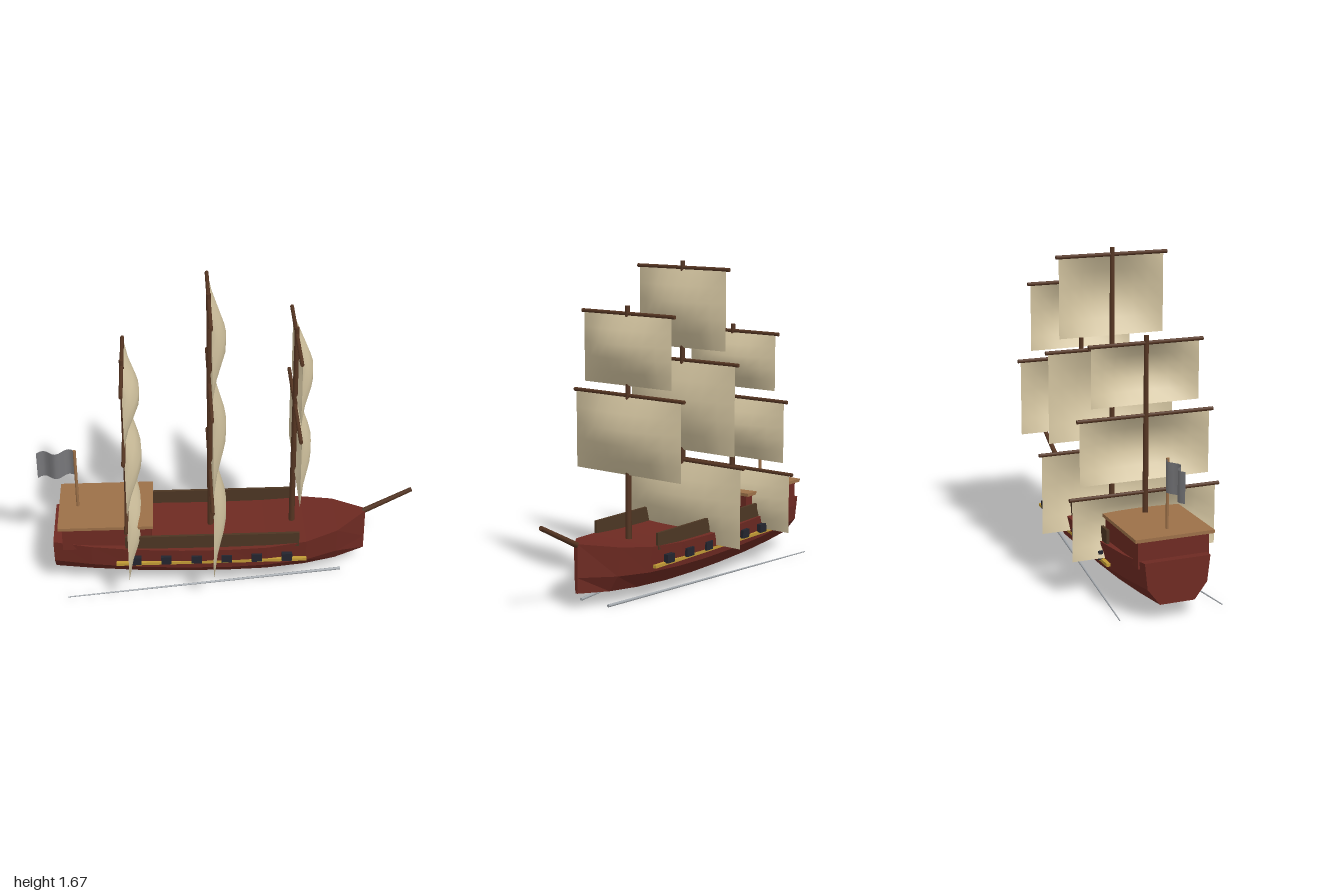
import * as THREE from 'three';

const material = (name, color, extra = {}) =>
  Object.assign(new THREE.MeshStandardMaterial({ color, ...extra }), { name });

export function createModel() {
  const ship = new THREE.Group();
  ship.name = 'sailingShip';

  const hullRed = material('hull red', 0x6e2a22, { flatShading: true });
  const deckTan = material('deck tan', 0x9c7048);
  const mastBrown = material('mast brown', 0x553522);
  const railBrown = material('rail brown', 0x4c3623);
  const gold = material('gold trim', 0xc09a35);
  const portDark = material('gun port', 0x23252e);
  const canvas = material('sail canvas', 0xd3c4a0, { side: THREE.DoubleSide });
  const flagGrey = material('flag grey', 0x77777a, { side: THREE.DoubleSide });
  const wakeGrey = material('wake grey', 0xa4a9ae);

  const add = (name, geometry, mat, x = 0, y = 0, z = 0) => {
    const mesh = new THREE.Mesh(geometry, mat);
    mesh.name = name;
    mesh.position.set(x, y, z);
    ship.add(mesh);
    return mesh;
  };
  const box = (name, mat, w, h, d, x, y, z = 0) =>
    add(name, new THREE.BoxGeometry(w, h, d), mat, x, y, z);
  // Round bar between two points
  const rod = (name, mat, a, b, r0, r1 = r0) => {
    const from = new THREE.Vector3(...a), to = new THREE.Vector3(...b);
    const dir = to.clone().sub(from);
    const mesh = add(name, new THREE.CylinderGeometry(r1, r0, dir.length(), 8), mat);
    mesh.position.copy(from).add(to).multiplyScalar(0.5);
    mesh.quaternion.setFromUnitVectors(new THREE.Vector3(0, 1, 0), dir.normalize());
    return mesh;
  };

  // Hull: lofted stations [x, deck half, deck y, chine half, chine y, bottom half, bottom y]
  const stations = [
    [-0.93, 0.17, 0.303, 0.155, 0.17, 0.09, 0.086],
    [-0.73, 0.2, 0.286, 0.185, 0.16, 0.108, 0.074],
    [-0.5, 0.224, 0.277, 0.208, 0.152, 0.122, 0.063],
    [-0.25, 0.236, 0.272, 0.22, 0.147, 0.13, 0.057],
    [0, 0.24, 0.272, 0.225, 0.146, 0.132, 0.055],
    [0.2, 0.234, 0.275, 0.217, 0.148, 0.128, 0.057],
    [0.41, 0.207, 0.287, 0.188, 0.152, 0.108, 0.064],
    [0.58, 0.146, 0.309, 0.126, 0.158, 0.072, 0.073],
    [0.745, 0.012, 0.337, 0.01, 0.166, 0.006, 0.086],
  ];
  const rings = stations.map(([x, dw, dy, cw, cy, bw, by]) => [
    [x, dy, dw], [x, cy, cw], [x, by, bw], [x, by, -bw], [x, cy, -cw], [x, dy, -dw],
  ]);
  const pos = [];
  const quad = (a, b, c, d) => pos.push(...a, ...b, ...c, ...a, ...c, ...d);
  for (let i = 0; i + 1 < rings.length; i++) {
    for (let j = 0; j < 6; j++) {
      const k = (j + 1) % 6;
      quad(rings[i][j], rings[i][k], rings[i + 1][k], rings[i + 1][j]);
    }
  }
  const bow = rings[rings.length - 1], stern = [...rings[0]].reverse();
  for (const cap of [bow, stern]) {
    quad(cap[0], cap[1], cap[4], cap[5]);
    quad(cap[1], cap[2], cap[3], cap[4]);
  }
  const hullGeo = new THREE.BufferGeometry();
  hullGeo.setAttribute('position', new THREE.Float32BufferAttribute(pos, 3));
  hullGeo.computeVertexNormals();
  add('hull', hullGeo, hullRed);

  // Stern cabin and its roof deck
  box('sternCabin', hullRed, 0.47, 0.14, 0.37, -0.645, 0.33);
  box('cabinRoof', deckTan, 0.5, 0.017, 0.41, -0.65, 0.406);

  // Rails, trim and gun ports on both sides
  for (const side of [1, -1]) {
    box('rail', railBrown, 0.92, 0.085, 0.015, -0.09, 0.307, side * 0.205);
    box('trimStripe', gold, 1.01, 0.016, 0.02, -0.095, 0.187, side * 0.221);
    for (let i = 0; i < 6; i++) {
      box('gunPort', portDark, 0.055, 0.045, 0.024, -0.495 + i * 0.16, 0.213, side * 0.232);
    }
    rod('wakeLine', wakeGrey, [-0.865, 0.009, side * 0.27], [0.612, 0.009, side * 0.09], 0.003, 0.008);
  }

  // Sail bulging toward the bow, pinned along its border
  const sail = (x, top, bottom, half) => {
    const h = top - bottom;
    const geo = new THREE.PlaneGeometry(half * 2, h, 8, 5).rotateY(Math.PI / 2);
    const p = geo.attributes.position;
    for (let i = 0; i < p.count; i++) {
      const u = Math.max(0, Math.cos((p.getZ(i) / half) * Math.PI / 2));
      const v = Math.max(0, Math.cos((p.getY(i) / h) * Math.PI));
      p.setX(i, 0.082 * Math.pow(u, 0.8) * v);
    }
    geo.computeVertexNormals();
    add('sail', geo, canvas, x + 0.006, (top + bottom) / 2, 0);
  };

  // Masts with sails: [yard y, sail bottom y, yard half length]
  const masts = [
    { x: -0.535, top: 1.307, sails: [[1.27, 0.965, 0.3], [0.91, 0.58, 0.36], [0.52, 0.2, 0.4]] },
    { x: -0.093, top: 1.67, sails: [[1.635, 1.22, 0.3], [1.155, 0.68, 0.36], [0.625, 0.2, 0.4]] },
    { x: 0.347, top: 1.47, sails: [[1.43, 1.07, 0.3], [1.02, 0.615, 0.36]] },
  ];
  for (const { x, top, sails } of masts) {
    rod('mast', mastBrown, [x, 0.25, 0], [x, top, 0], 0.016, 0.012);
    for (const [y, bottom, half] of sails) {
      rod('yard', mastBrown, [x, y, -half], [x, y, half], 0.01);
      sail(x, y - 0.008, bottom, half - 0.017);
    }
  }
  rod('bowsprit', mastBrown, [0.735, 0.328, 0], [0.988, 0.463, 0], 0.015, 0.012);

  // Waving flag on its pole
  rod('flagPole', deckTan, [-0.8, 0.41, 0], [-0.8, 0.767, 0], 0.008);
  const flagGeo = new THREE.PlaneGeometry(0.2, 0.155, 12, 3);
  const f = flagGeo.attributes.position;
  for (let i = 0; i < f.count; i++) {
    const s = (0.1 - f.getX(i)) / 0.2;
    f.setZ(i, -0.022 * Math.sin(3 * Math.PI * s));
    f.setY(i, f.getY(i) - 0.01 * s);
  }
  flagGeo.computeVertexNormals();
  add('flag', flagGeo, flagGrey, -0.9, 0.687, 0);

  return ship;
}
